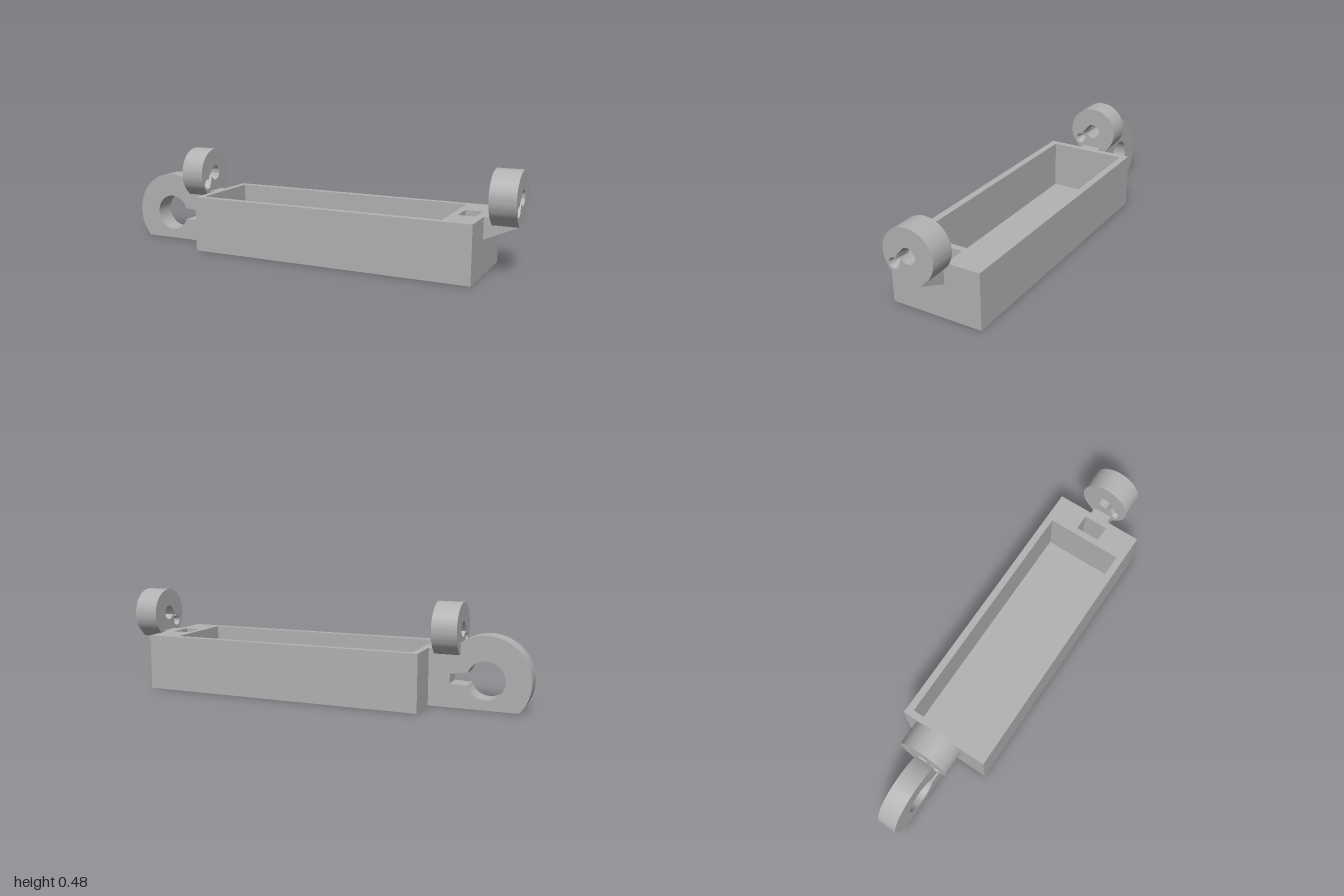
import * as THREE from 'three';
import { toCreasedNormals } from 'three/addons/utils/BufferGeometryUtils.js';

const V = (x, y) => new THREE.Vector2(x, y);

// Points on an arc, angles in degrees
function arc(cx, cy, r, from, to, n) {
  const pts = [];
  for (let i = 0; i <= n; i++) {
    const a = THREE.MathUtils.degToRad(from + (to - from) * i / n);
    pts.push(V(cx + r * Math.cos(a), cy + r * Math.sin(a)));
  }
  return pts;
}

const rect = (x0, x1, y0, y1) => [V(x0, y0), V(x1, y0), V(x1, y1), V(x0, y1)];

function extrude(outline, holes, depth, steps = 1) {
  const shape = new THREE.Shape(outline);
  holes.forEach(h => shape.holes.push(new THREE.Path(h)));
  return new THREE.ExtrudeGeometry(shape, { depth, steps, bevelEnabled: false });
}

export function createModel() {
  const model = new THREE.Group();
  const grey = new THREE.MeshStandardMaterial({ color: 0xb2b2b2 });
  grey.name = 'plain grey';

  function add(name, geometry, parent = model) {
    const mesh = new THREE.Mesh(toCreasedNormals(geometry, 0.5), grey);
    mesh.name = name;
    parent.add(mesh);
    return mesh;
  }

  // Open tray: walls with the main cavity and a small end pocket, over a floor
  const floor = 0.03, top = 0.267;
  const walls = extrude(
    rect(-0.535, 0.845, -0.224, 0.224),
    [rect(-0.503, 0.70, -0.19, 0.19), rect(0.732, 0.812, -0.061, 0.061)],
    top - floor);
  walls.rotateX(-Math.PI / 2).translate(0, floor, 0);
  add('trayWalls', walls);
  add('trayFloor', new THREE.BoxGeometry(1.38, floor, 0.448).translate(0.155, floor / 2, 0));

  // Upright end plate: rounded, flat at the base, with a keyhole opening
  const base = Math.asin(0.135 / 0.202) * 180 / Math.PI;
  const join = Math.asin(0.132 / 0.202) * 180 / Math.PI;
  const plateOutline = [
    V(-0.535, 0), V(-0.535, top),
    ...arc(-0.798, 0.135, 0.202, join, 180 + base, 56),
  ];
  const keyhole = [
    ...arc(-0.798, 0.135, 0.088, 19, 341, 56),
    V(-0.705, 0.106), V(-0.635, 0.11), V(-0.635, 0.157), V(-0.705, 0.164),
  ];
  add('endPlate', extrude(plateOutline, [keyhole], 0.098).translate(0, 0, -0.049));

  // Sloping bracket that carries the far guide ring
  const bracket = [V(0.845, 0.165), V(1, 0.234), V(1, 0.25), V(0.99, top), V(0.845, top)];
  add('ringBracket', extrude(bracket, [], 0.098).translate(0, 0, -0.049));

  // Guide ring: eye, side slot and a small hole narrowing to a thin web
  function guideRing(name, x0, x1, flat) {
    const ring = new THREE.Group();
    ring.name = name;
    const depth = x1 - x0, cu = -0.07, cy = -0.05;
    const outline = [
      ...arc(0, 0, 0.122, -45, 225, 64),
      V(-0.172 - flat, flat), V(0.172 + flat, flat),
    ];
    const eye = [
      ...arc(0, 0, 0.036, 204, 513, 40),
      V(-0.061, -0.017),
      ...arc(cu, cy, 0.025, 69, 330, 28),
    ];
    const geo = extrude(outline, [eye], depth, 2);
    const p = geo.attributes.position;
    for (let i = 0; i < p.count; i++) {
      const du = p.getX(i) - cu, dy = p.getY(i) - cy;
      const middle = Math.abs(p.getZ(i) - depth / 2) < 0.001;
      if (middle && Math.hypot(du, dy) < 0.0255) {
        p.setXY(i, cu + du * 0.4, cy + dy * 0.4);
      }
    }
    geo.rotateY(Math.PI / 2);
    add('ringBody', geo, ring);
    const web = new THREE.CylinderGeometry(0.0105, 0.0105, 0.006, 24);
    web.rotateZ(Math.PI / 2).translate(depth / 2, cy, -cu);
    add('holeWeb', web, ring);
    ring.position.set(x0, 0.355, 0);
    model.add(ring);
  }
  guideRing('nearGuideRing', -0.68, -0.563, -0.11);
  guideRing('farGuideRing', 0.88, 1, -0.121);

  return model;
}
